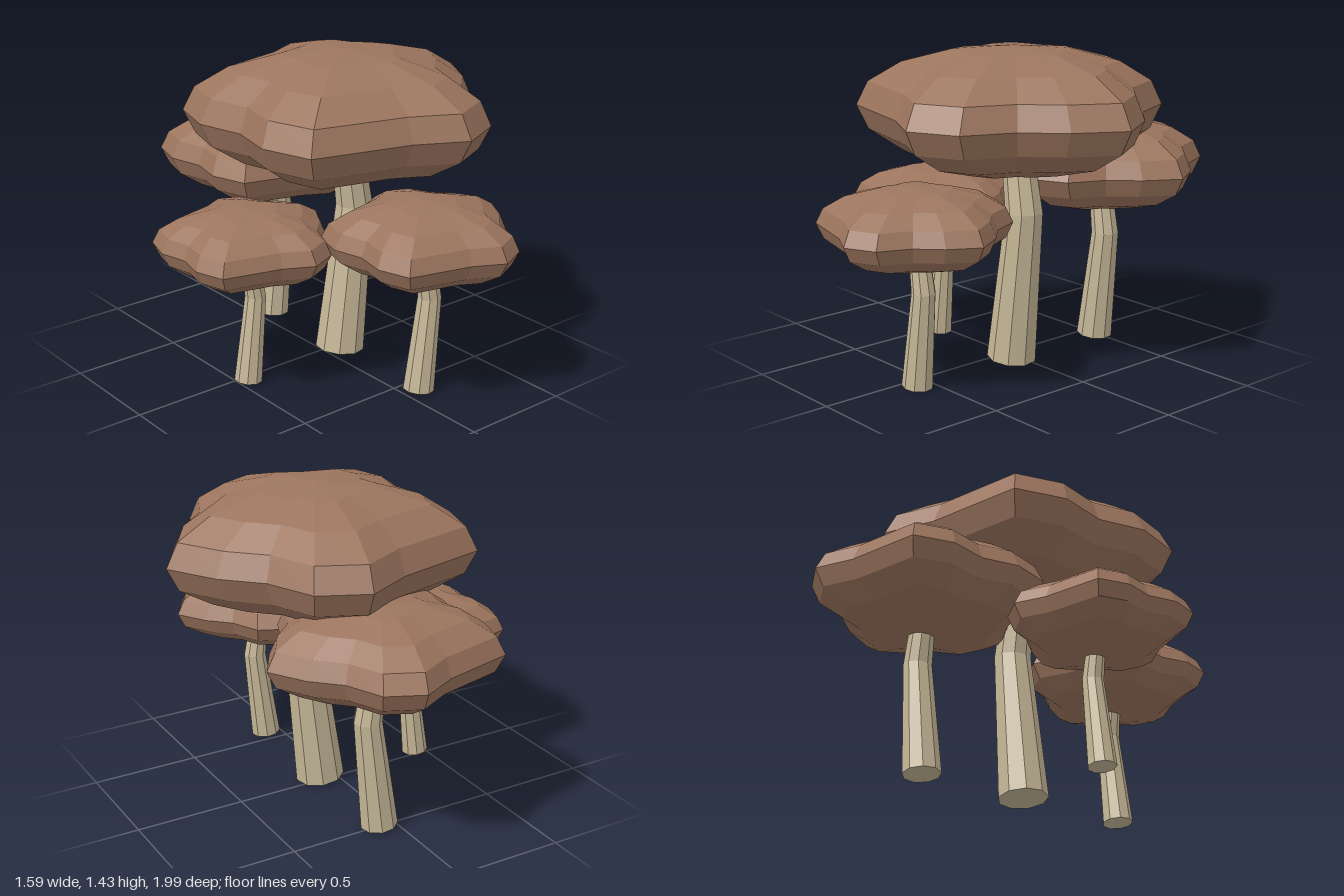
import * as THREE from 'three';

const capMaterial = new THREE.MeshStandardMaterial({ name: 'capBrown', color: 0x9c755e, flatShading: true });
const stemMaterial = new THREE.MeshStandardMaterial({ name: 'stemCream', color: 0xc6b797, flatShading: true });

// Flattened sphere whose outline swells into five lobes
function capGeometry(radius) {
  const geometry = new THREE.SphereGeometry(1, 18, 8);
  const p = geometry.attributes.position;
  for (let i = 0; i < p.count; i++) {
    const x = p.getX(i), z = p.getZ(i);
    const r = radius * (1 + 0.12 * Math.cos(5 * Math.atan2(z, x)));
    p.setXYZ(i, x * r, p.getY(i) * radius * 0.44, z * r);
  }
  geometry.computeVertexNormals();
  return geometry;
}

// Tapered stem leaning to +x, then bending back under the cap
function stemGeometry(radius, height) {
  const geometry = new THREE.CylinderGeometry(1, 1, 1, 9, 2);
  const p = geometry.attributes.position;
  const stations = [
    { x: -0.01, y: 0.11 * radius, r: 1, tilt: 0.11 },
    { x: 0.062, y: 0.61 * height, r: 0.76, tilt: 0 },
    { x: 0, y: height, r: 0.58, tilt: -0.15 },
  ];
  for (let i = 0; i < p.count; i++) {
    const s = stations[Math.round((p.getY(i) + 0.5) * 2)];
    const x = p.getX(i) * radius * s.r, z = p.getZ(i) * radius * s.r;
    p.setXYZ(i, s.x * height + x, s.y - x * s.tilt, z);
  }
  geometry.computeVertexNormals();
  return geometry;
}

function mushroom({ name, x, z, height, capRadius, stemRadius }) {
  const group = new THREE.Group();
  group.name = name;
  const cap = new THREE.Mesh(capGeometry(capRadius), capMaterial);
  cap.name = 'cap';
  cap.position.y = height;
  const stem = new THREE.Mesh(stemGeometry(stemRadius, height), stemMaterial);
  stem.name = 'stem';
  group.add(cap, stem);
  group.position.set(x, 0, z);
  return group;
}

export function createModel() {
  const model = new THREE.Group();
  model.name = 'mushroomCluster';
  const mushrooms = [
    { name: 'tallMushroom', x: 0.085, z: 0.037, height: 1.155, capRadius: 0.634, stemRadius: 0.112 },
    { name: 'backMushroom', x: 0.083, z: -0.49, height: 0.85, capRadius: 0.47, stemRadius: 0.083 },
    { name: 'frontMushroom', x: 0.081, z: 0.578, height: 0.715, capRadius: 0.391, stemRadius: 0.069 },
    { name: 'rightMushroom', x: -0.448, z: 0.037, height: 0.66, capRadius: 0.366, stemRadius: 0.062 },
  ];
  for (const m of mushrooms) model.add(mushroom(m));
  return model;
}
